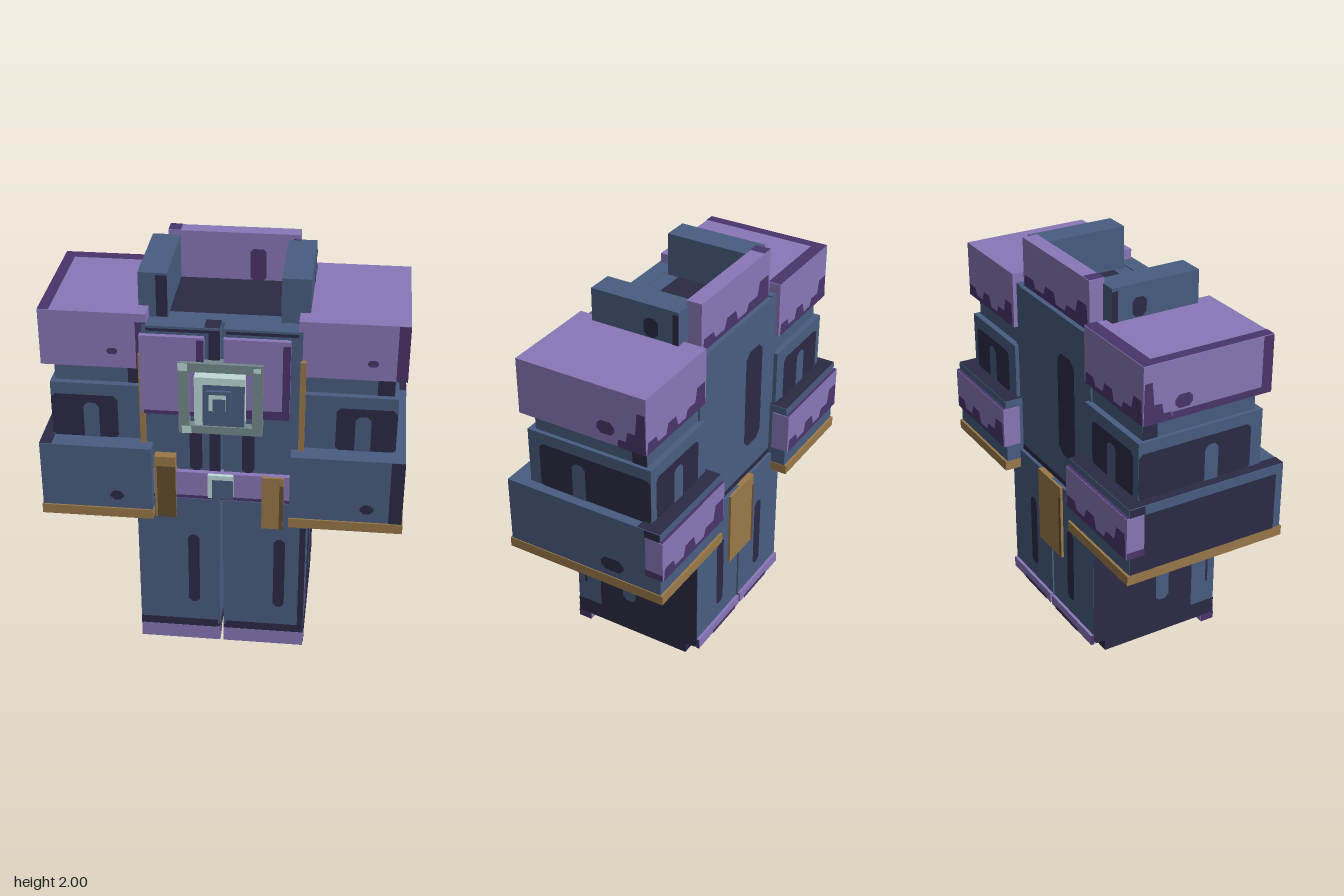
import * as THREE from 'three';

const material = (name, color) => {
  const m = new THREE.MeshStandardMaterial({ color });
  m.name = name;
  return m;
};

export function createModel() {
  const root = new THREE.Group();
  root.name = 'blockyArmour';
  const blue = material('slateBlue', 0x495d81);
  const navy = material('darkNavy', 0x2b2a45);
  const purple = material('purple', 0x8977b8);
  const plum = material('darkPurple', 0x4a356b);
  const gold = material('gold', 0x9a794a);
  const umber = material('darkGold', 0x644d2f);
  const pale = material('paleTeal', 0xbfdad9);
  const grey = material('greyTeal', 0x758b8e);

  // Box given by its extents on each axis
  function box(name, mat, x0, x1, y0, y1, z0, z1) {
    const mesh = new THREE.Mesh(new THREE.BoxGeometry(Math.abs(x1 - x0), y1 - y0, z1 - z0), mat);
    mesh.position.set((x0 + x1) / 2, (y0 + y1) / 2, (z0 + z1) / 2);
    mesh.name = name;
    root.add(mesh);
  }

  // Flat painted polygon on a face; points are (x,y), (z,y) or (x,z) in model space
  function paint(name, mat, face, depth, pts) {
    const flipA = face === 'back' || face === 'left+' ? -1 : 1;
    const flipB = face === 'top' ? -1 : 1;
    const g = new THREE.ShapeGeometry(new THREE.Shape(pts.map(([a, b]) => new THREE.Vector2(a * flipA, b * flipB))));
    if (face === 'front') g.translate(0, 0, depth);
    if (face === 'back') g.rotateY(Math.PI).translate(0, 0, depth);
    if (face === 'left+') g.rotateY(Math.PI / 2).translate(depth, 0, 0);
    if (face === 'right-') g.rotateY(-Math.PI / 2).translate(depth, 0, 0);
    if (face === 'top') g.rotateX(-Math.PI / 2).translate(0, depth, 0);
    if (face === 'bottom') g.rotateX(Math.PI / 2).translate(0, depth, 0);
    const mesh = new THREE.Mesh(g, mat);
    mesh.name = name;
    root.add(mesh);
  }

  // Rectangle with cut corners
  function patch(name, mat, face, depth, a0, a1, b0, b1, c = 0) {
    const pts = c
      ? [[a0 + c, b0], [a1 - c, b0], [a1, b0 + c], [a1, b1 - c], [a1 - c, b1], [a0 + c, b1], [a0, b1 - c], [a0, b0 + c]]
      : [[a0, b0], [a1, b0], [a1, b1], [a0, b1]];
    paint(name, mat, face, depth, pts);
  }

  // Uneven worn edge rising from a lower border
  function drips(name, mat, face, depth, a0, a1, y0, h, steps = [0.5, 0.2, 0.6, 0.15, 0.45, 1]) {
    const w = (a1 - a0) / steps.length;
    const pts = [[a1, y0], [a0, y0]];
    steps.forEach((s, i) => pts.push([a0 + w * (i + 0.1), y0 + h * s], [a0 + w * (i + 0.9), y0 + h * s]));
    paint(name, mat, face, depth, pts);
  }

  const E = 0.003;

  for (const s of [-1, 1]) {
    const side = s > 0 ? 'left' : 'right';
    const face = s > 0 ? 'left+' : 'right-';
    const b = (name, mat, x0, x1, ...r) => box(side + name, mat, s * x0, s * x1, ...r);
    const p = (name, mat, f, d, x0, x1, ...r) =>
      patch(side + name, mat, f, d, Math.min(s * x0, s * x1), Math.max(s * x0, s * x1), ...r);
    const out = (name, mat, x, ...r) => patch(side + name, mat, face, s * (x + E), ...r);

    // Leg, sole and trim
    b('Leg', blue, 0.008, 0.413, 0.1, 0.855, -0.345, 0.37);
    b('Sole', navy, 0.008, 0.413, 0.04, 0.1, -0.28, 0.37);
    b('ToeTrim', purple, 0.008, 0.413, 0, 0.08, 0.3, 0.374);
    b('HeelTrim', purple, 0.008, 0.413, 0.1, 0.155, -0.36, -0.32);
    out('ToeTrimSide', plum, 0.413, 0.3, 0.374, 0, 0.04);
    out('HeelTrimSide', plum, 0.413, -0.36, -0.345, 0.1, 0.155);
    p('HeelTrimEdge', plum, 'back', -0.36 - E, 0.05, 0.28, 0.1, 0.12);
    p('LegHem', navy, 'front', 0.37 + E, 0.02, 0.413, 0.08, 0.125);
    p('LegBottom', navy, 'bottom', 0.1 - E, 0.008, 0.413, -0.345, -0.28);
    const lx = s > 0 ? 0.258 : 0.11;
    p('LegSlot', navy, 'front', 0.37 + E, lx, lx + 0.056, 0.235, 0.645, 0.018);
    p('LegBackSlot', navy, 'back', -0.345 - E, 0.16, 0.225, 0.24, 0.64, 0.02);
    out('LegSidePanel', navy, 0.413, -0.345, 0.23, 0.1, 0.72, 0.018);
    out('LegSideHem', navy, 0.413, -0.28, 0.37, 0.04, 0.13);
    out('LegSideSlot', blue, 0.413 + E, 0.015, 0.09, 0.235, 0.625, 0.02);
    out('LegSideLine', navy, 0.413, 0.315, 0.328, 0.25, 0.63);

    // Jacket front half and strap
    b('JacketFront', blue, 0.008, 0.37, 0.8, 1.76, 0.25, 0.335);
    p('JacketTopEdge', navy, 'front', 0.335 + E, 0.02, 0.35, 1.735, 1.75);
    p('JacketSlot', navy, 'front', 0.335 + E, 0.095, 0.155, 1.0, 1.25, 0.018);
    b('Strap', gold, 0.362, 0.389, 1.14, 1.615, 0.32, 0.35);

    // Shoulder guard with worn edges
    b('Shoulder', purple, 0.35, 0.853, 1.53, 1.81, -0.345, 0.325);
    p('ShoulderBottom', plum, 'bottom', 1.53 - E, 0.35, 0.853, -0.345, 0.325);
    p('ShoulderSpot', plum, 'front', 0.325 + E, s > 0 ? 0.668 : 0.488, s > 0 ? 0.716 : 0.536, 1.6, 1.632, 0.01);
    drips(side + 'ShoulderWear', plum, 'back', -0.345 - E, s > 0 ? 0.85 : -0.36, s > 0 ? 0.36 : -0.85, 1.53, 0.12);
    out('ShoulderSpotSide', plum, 0.853, -0.185, -0.095, 1.575, 1.64, 0.02);
    drips(side + 'ShoulderSideWear', plum, face, s * (0.853 + E), -0.2, -0.345, 1.53, 0.2, [0.2, 0.45, 1]);

    // Sleeve
    b('SleeveNeck', blue, 0.37, 0.8, 1.42, 1.54, -0.315, 0.28);
    p('SleeveNeckShade', navy, 'front', 0.28 + E, s > 0 ? 0.72 : 0.37, s > 0 ? 0.8 : 0.45, 1.43, 1.53);
    out('SleeveNeckSideShade', navy, 0.8, -0.315, -0.24, 1.43, 1.53);
    b('UpperArm', blue, 0.35, 0.82, 1.13, 1.43, -0.345, 0.312);
    const ax = s > 0 ? 0.535 : 0.5;
    p('ArmPanel', navy, 'front', 0.312 + E, ax, 0.82, 1.14, 1.37, 0.02);
    p('ArmSlot', blue, 'front', 0.312 + 2 * E, ax + 0.09, ax + 0.165, 1.1, 1.33, 0.02);
    out('ArmSidePanel', navy, 0.82, -0.345, 0.25, 1.14, 1.375, 0.02);
    out('ArmSideSlot', blue, 0.82 + E, 0, 0.072, 1.1, 1.33, 0.02);
    p('ArmBackPanel', navy, 'back', -0.345 - E, 0.42, 0.78, 1.14, 1.37, 0.02);
    p('ArmBackSlot', blue, 'back', -0.345 - 2 * E, 0.56, 0.635, 1.1, 1.33, 0.02);

    // Wide cuff with gold hem and purple rear band
    b('Cuff', blue, 0.33, 0.87, 0.8, 1.145, -0.42, 0.41);
    b('CuffHem', gold, 0.328, 0.875, 0.755, 0.805, -0.432, 0.418);
    const rim = s > 0 ? 0.035 : 0.004;
    p('CuffOpening', navy, 'bottom', 0.755 - E, 0.328 + rim, 0.875 - rim, -0.432 + rim, 0.418 - rim);
    p('CuffTop', navy, 'top', 1.145 + E, 0.33, 0.87, -0.42, -0.3);
    b('CuffBand', purple, 0.325, 0.875, 0.895, 1.105, -0.436, -0.345);
    p('CuffBandTop', plum, 'top', 1.105 + E, 0.325, 0.875, -0.436, -0.42);
    out('CuffBandSide', plum, 0.875, -0.436, -0.345, 0.895, 0.93);
    drips(side + 'CuffBandWear', plum, 'back', -0.436 - E, s > 0 ? 0.87 : -0.33, s > 0 ? 0.33 : -0.87, 0.895, 0.13);
    out('CuffSideCorner', navy, 0.87, -0.42, -0.34, 1.1, 1.145);
    out('CuffSpotSide', navy, 0.87, -0.225, -0.1, 0.84, 0.91, 0.025);
    const cx = s > 0 ? 0.667 : 0.47;
    p('CuffSpot', navy, 'front', 0.41 + E, cx, cx + 0.065, 0.853, 0.903, 0.018);

    // Collar side
    b('CollarSide', blue, 0.262, 0.397, 1.755, 1.975, -0.23, 0.23);
    out('CollarSpot', navy, 0.397, -0.125, -0.05, 1.815, 1.91, 0.02);
    out('CollarSideEdge', navy, 0.397, -0.23, -0.2, 1.81, 1.96);
    b('CollarRearCorner', blue, 0.31, 0.395, 1.7, 1.762, -0.325, -0.2);
  }

  // Torso core and back
  box('torso', blue, -0.37, 0.37, 0.8, 1.755, -0.325, 0.25);
  patch('collarFloor', navy, 'top', 1.755 + E, -0.265, 0.262, -0.225, 0.17);
  patch('backSlot', navy, 'back', -0.325 - E, -0.22, -0.06, 1.03, 1.565, 0.035);
  patch('backHem', navy, 'back', -0.325 - E, -0.35, 0.35, 0.856, 0.885);
  patch('torsoSeam', navy, 'front', 0.335 + E, -0.06, -0.008, 1.0, 1.75);
  patch('torsoSeamTop', navy, 'top', 1.76 + E, -0.08, -0.008, 0.25, 0.335);

  // Dark edges that differ between the two sides
  patch('legOuterEdge', navy, 'front', 0.37 + E, 0.383, 0.413, 0.125, 0.72);
  patch('cuffOuterEdge', navy, 'front', 0.41 + E, 0.805, 0.87, 0.805, 1.145);
  patch('cuffTopEdge', navy, 'top', 1.145 + E, -0.87, -0.81, -0.3, 0.41);
  patch('cuffSideShade', navy, 'right-', -0.87 - E, -0.42, 0.37, 0.805, 1.1);
  patch('shoulderOuterEdge', plum, 'front', 0.325 + E, 0.8, 0.853, 1.53, 1.81);
  patch('shoulderInnerEdge', plum, 'front', 0.325 + E, -0.4, -0.35, 1.53, 1.77);
  patch('shoulderTopSide', plum, 'top', 1.81 + E, -0.853, -0.8, -0.345, 0.325);
  patch('shoulderTopBack', plum, 'top', 1.81 + E, -0.8, -0.35, -0.345, -0.28);
  patch('shoulderSideHem', plum, 'right-', -0.853 - E, -0.2, 0.325, 1.53, 1.565);
  patch('shoulderSideEdge', plum, 'right-', -0.853 - E, 0.27, 0.325, 1.565, 1.81);
  patch('collarInnerEdge', navy, 'front', 0.23 + E, -0.315, -0.262, 1.76, 1.965);

  // Collar back
  box('collarBack', purple, -0.32, 0.318, 1.755, 2.0, -0.3, -0.222);
  patch('collarBackSlot', plum, 'front', -0.222 + E, 0.077, 0.155, 1.757, 1.92, 0.015);
  patch('collarBackEdge', plum, 'front', -0.222 + E, 0.285, 0.318, 1.76, 1.98);
  patch('collarBackTop', plum, 'top', 2.0 + E, -0.32, -0.26, -0.3, -0.222);
  drips('collarBackWear', plum, 'back', -0.3 - E, 0.31, -0.31, 1.757, 0.12);

  // Chest plates
  box('rightChestPlate', purple, -0.38, -0.08, 1.315, 1.72, 0.33, 0.36);
  box('leftChestPlate', purple, 0.01, 0.318, 1.315, 1.72, 0.33, 0.36);
  patch('rightChestEdge', plum, 'front', 0.36 + E, -0.115, -0.08, 1.6, 1.71);
  patch('rightChestHem', plum, 'front', 0.36 + E, -0.365, -0.08, 1.315, 1.335);
  patch('leftChestEdge', plum, 'front', 0.36 + E, 0.283, 0.318, 1.315, 1.7);
  patch('leftChestHem', plum, 'front', 0.36 + E, 0.03, 0.283, 1.315, 1.36);

  // Square chest ornament: frame and stepped boss
  box('frameTop', grey, -0.2, 0.195, 1.555, 1.6, 0.32, 0.378);
  box('frameBottom', grey, -0.2, 0.195, 1.23, 1.27, 0.32, 0.378);
  box('frameRight', grey, -0.2, -0.15, 1.27, 1.555, 0.32, 0.378);
  box('frameLeft', grey, 0.145, 0.195, 1.27, 1.555, 0.32, 0.378);
  patch('frameCornerGlint', pale, 'front', 0.378 + E, -0.2, -0.155, 1.56, 1.6);
  patch('frameLowerGlint', pale, 'front', 0.378 + E, -0.185, -0.14, 1.23, 1.27);
  patch('frameTopGlint', pale, 'front', 0.378 + E, 0.15, 0.185, 1.565, 1.59);
  box('bossBase', pale, -0.12, 0.115, 1.3, 1.55, 0.34, 0.418);
  patch('bossShade', blue, 'front', 0.418 + E, -0.08, 0.115, 1.3, 1.515);
  box('bossTop', blue, -0.062, 0.052, 1.35, 1.49, 0.41, 0.438);
  patch('bossTopGlint', pale, 'front', 0.438 + E, -0.05, 0.03, 1.39, 1.475);
  patch('bossTopInset', blue, 'front', 0.438 + 2 * E, -0.03, 0.03, 1.39, 1.455);

  // Belt, buckle and pouches
  box('belt', purple, -0.33, 0.33, 0.852, 1.0, 0.32, 0.362);
  patch('beltHem', plum, 'front', 0.362 + E, -0.33, 0.33, 0.855, 0.872);
  box('buckle', pale, -0.065, 0.057, 0.872, 1.0, 0.34, 0.382);
  patch('buckleShade', blue, 'front', 0.382 + E, -0.043, 0.057, 0.872, 0.978);
  box('rightPouch', gold, -0.322, -0.22, 0.75, 1.09, 0.33, 0.382);
  patch('rightPouchFront', umber, 'front', 0.382 + E, -0.31, -0.22, 0.75, 1.04);
  box('leftPouch', gold, 0.195, 0.3, 0.71, 1.0, 0.33, 0.376);
  patch('leftPouchEdge', umber, 'front', 0.376 + E, 0.28, 0.3, 0.71, 0.96);

  // Rear hanging tab
  box('rearTab', gold, -0.118, 0.112, 0.45, 0.855, -0.358, -0.325);
  patch('rearTabEdge', umber, 'back', -0.358 - E, -0.118, -0.1, 0.45, 0.8);
  return root;
}
